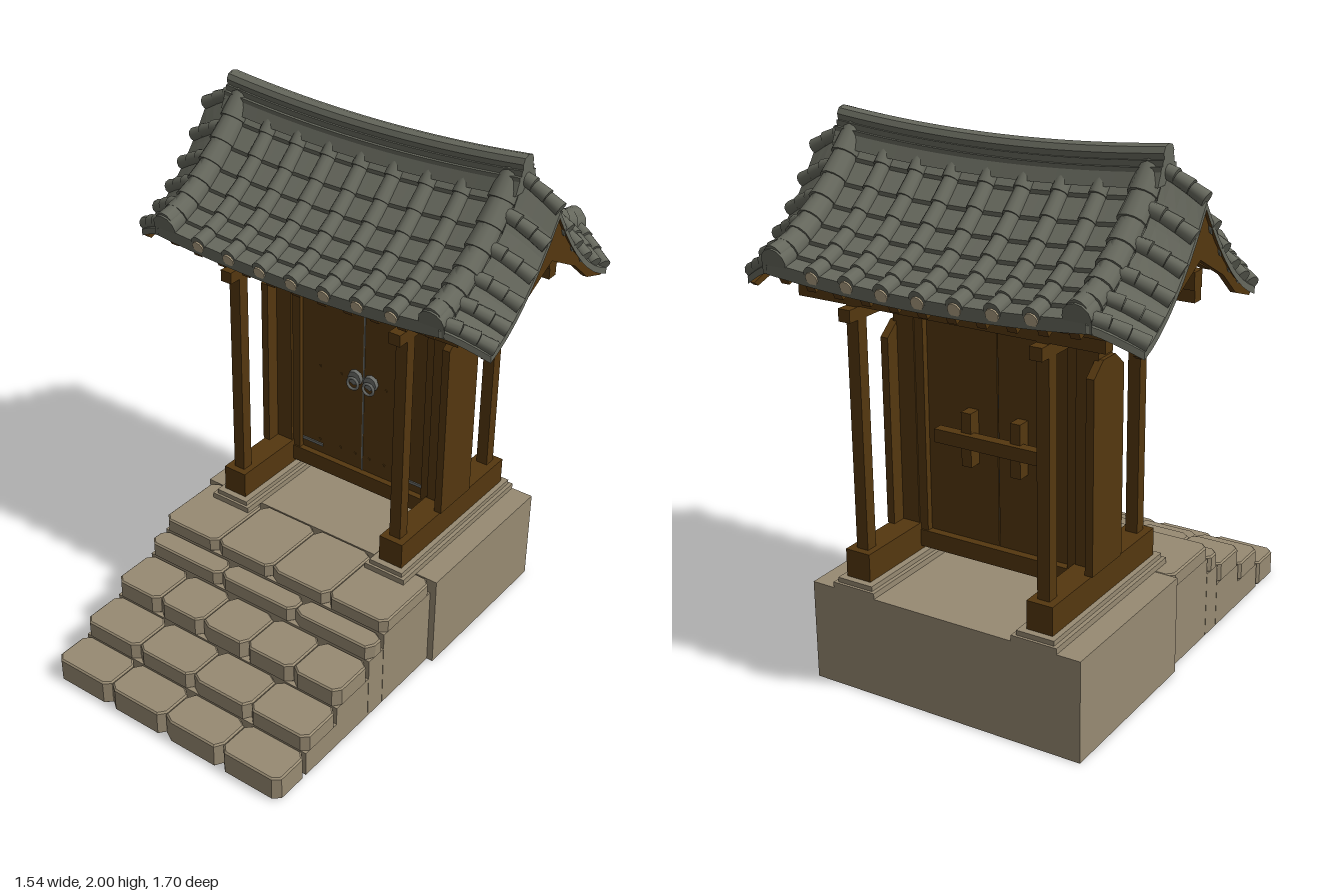
import * as THREE from 'three';

const ZC = -0.38; // gate centre line
const mat = (name, color, double) => {
  const m = new THREE.MeshStandardMaterial({ color });
  m.name = name;
  if (double) m.side = THREE.DoubleSide;
  return m;
};
const M = {
  stone: mat('stone', 0x978a72), tile: mat('roofTile', 0x66685d, true), wood: mat('wood', 0x54370f, true),
  metal: mat('iron', 0x6c6e6a), plaster: mat('plaster', 0xb0a184),
};

const add = (parent, name, geo, m) => {
  const mesh = new THREE.Mesh(geo, m);
  mesh.name = name;
  parent.add(mesh);
  return mesh;
};
// box given by its min and max on each axis
const box = (parent, name, m, x0, x1, y0, y1, z0, z1) => {
  const mesh = add(parent, name, new THREE.BoxGeometry(x1 - x0, y1 - y0, z1 - z0), m);
  mesh.position.set((x0 + x1) / 2, (y0 + y1) / 2, (z0 + z1) / 2);
  return mesh;
};
const V = (x, y, z) => new THREE.Vector3(x, y, z);
// align a y-axis mesh between two points
const UP = V(0, 1, 0);
const span = (mesh, a, b) => {
  mesh.position.copy(a).add(b).multiplyScalar(0.5);
  mesh.quaternion.setFromUnitVectors(UP, b.clone().sub(a).normalize());
  return mesh;
};
const rod = (parent, name, m, a, b, ra, rb, sides = 10) =>
  span(add(parent, name, new THREE.CylinderGeometry(rb, ra, a.distanceTo(b), sides), m), a, b);
// flat-shaded surface from a rule over a grid
const sheet = (nu, nv, fn) => {
  const pos = [], idx = [];
  for (let i = 0; i <= nu; i++) for (let j = 0; j <= nv; j++) pos.push(...fn(i, j));
  for (let i = 0; i < nu; i++) for (let j = 0; j < nv; j++) {
    const a = i * (nv + 1) + j, b = a + nv + 1;
    idx.push(a, a + 1, b, b, a + 1, b + 1);
  }
  const g = new THREE.BufferGeometry();
  g.setAttribute('position', new THREE.Float32BufferAttribute(pos, 3));
  g.setIndex(idx);
  const flat = g.toNonIndexed();
  flat.computeVertexNormals();
  return flat;
};
// profile in (z, y) extruded along x
const sideBoard = (parent, name, m, pts, x0, x1) => {
  const g = new THREE.ExtrudeGeometry(new THREE.Shape(pts.map(p => new THREE.Vector2(...p))), { depth: x1 - x0, bevelEnabled: false });
  g.rotateY(-Math.PI / 2).translate(x1, 0, ZC);
  return add(parent, name, g, m);
};

// Roof height at distance d from the ridge: sagging slope, lifted towards the gables
const lift = x => 0.035 * (x / 0.62) ** 2;
const roofY = (x, d) => 1.88 - 1.287 * d + 1.073 * d * d + lift(Math.min(Math.abs(x), 0.62));
// Gable verge: bends down and inwards from the rake (u = 0) to the edge (u = 1)
const verge = (s, u, d, dy = 0) => [s * (0.6 + 0.155 * u), roofY(0.62, Math.abs(d)) - 0.08 * u ** 1.2 + dy, ZC + d * (1 - 0.17 * u)];

function steps() {
  const g = new THREE.Group();
  g.name = 'stoneSteps';
  // [back z, front z, bottom, top, stones]
  const rows = [[0.68, 0.845, 0, 0.1, 4], [0.5, 0.685, 0.1, 0.175, 4], [0.31, 0.505, 0.175, 0.255, 5], [0.22, 0.312, 0.255, 0.32, 3], [-0.08, 0.222, 0.32, 0.38, 4]];
  rows.forEach(([z0, z1, y0, y1, n], r) => {
    const w = 1.05 / n, bev = 0.006;
    for (let i = 0; i < n; i++) {
      const x0 = -0.525 + i * w + bev + 0.001, x1 = -0.525 + (i + 1) * w - bev - 0.001;
      const a = z0 + bev, b = z1 - bev, c = 0.022 + 0.012 * ((i * 7 + r * 3) % 3) / 2, e = 0.03 - c / 3;
      const s = new THREE.Shape([[x0 + c, -b], [x1 - e, -b], [x1, -b + c * 0.9], [x1, -a - e], [x1 - c, -a], [x0 + e, -a], [x0, -a - c], [x0, -b + e]].map(p => new THREE.Vector2(...p)));
      const geo = new THREE.ExtrudeGeometry(s, { depth: y1 - y0 - 2 * bev, bevelThickness: bev, bevelSize: bev, bevelSegments: 1 });
      add(g, 'stepStone', geo.rotateX(-Math.PI / 2).translate(0, y0 + bev, 0), M.stone);
    }
    if (r) box(g, 'stepCore', M.stone, -0.52, 0.52, 0, y0 + 0.002, z0, z1 - 0.004);
  });
  return g;
}

function frame() {
  const g = new THREE.Group();
  g.name = 'timberFrame';
  for (const s of [-1, 1]) {
    const b = (name, m, x0, x1, ...r) => box(g, name, m, Math.min(s * x0, s * x1), Math.max(s * x0, s * x1), ...r);
    b('lowerPad', M.stone, 0.28, 0.455, 0.38, 0.402, -0.765, 0.005);
    b('upperPad', M.stone, 0.295, 0.44, 0.402, 0.42, -0.755, -0.005);
    b('groundSill', M.wood, 0.32, 0.42, 0.42, 0.525, -0.73, -0.03);
    for (const z of [-0.08, -0.68]) b('cornerPost', M.wood, 0.345, 0.392, 0.525, 1.42, z - 0.023, z + 0.023);
    b('sideTieBeam', M.wood, 0.345, 0.392, 1.365, 1.41, -0.745, -0.01);
    b('mainPost', M.wood, 0.325, 0.41, 0.525, 1.51, -0.425, -0.335);
    b('kingPost', M.wood, 0.345, 0.39, 1.5, 1.8, -0.405, -0.355);
    b('doorJamb', M.wood, 0.29, 0.326, 0.435, 1.4, -0.42, -0.345);
    const cheek = [[-0.1, 0.525], [0.1, 0.525], [0.1, 1.23], [0.04, 1.28], [-0.04, 1.28], [-0.1, 1.23]];
    sideBoard(g, 'cheekBoard', M.wood, cheek, s > 0 ? 0.395 : -0.425, s > 0 ? 0.425 : -0.395);
    // doors with iron fittings
    b('doorLeaf', M.wood, 0.002, 0.29, 0.5, 1.345, -0.395, -0.365);
    for (const y of [0.54, 1.31]) b('hingeStrap', M.metal, 0.19, 0.288, y - 0.006, y + 0.006, -0.366, -0.36);
    for (const x of [0.03, 0.1, 0.2]) for (const y of [0.56, 0.9, 1.28]) b('doorNail', M.wood, x, x + 0.008, y, y + 0.008, -0.366, -0.361);
    const plate = add(g, 'handlePlate', new THREE.CylinderGeometry(0.03, 0.033, 0.016, 8), M.metal);
    plate.rotation.x = Math.PI / 2;
    plate.position.set(s * 0.036, 0.915, -0.358);
    const ring = add(g, 'handleRing', new THREE.TorusGeometry(0.024, 0.006, 6, 14), M.metal);
    ring.position.set(s * 0.036, 0.896, -0.343);
    b('barBracket', M.wood, 0.08, 0.12, 0.8, 1.0, -0.445, -0.395);
  }
  box(g, 'doorBar', M.wood, -0.22, 0.22, 0.875, 0.925, -0.465, -0.425);
  box(g, 'doorSeam', M.metal, -0.003, 0.003, 0.5, 1.345, -0.39, -0.362);
  box(g, 'threshold', M.wood, -0.326, 0.326, 0.435, 0.5, -0.425, -0.34);
  box(g, 'lintel', M.wood, -0.326, 0.326, 1.345, 1.4, -0.42, -0.34);
  // purlins carrying the roof
  for (const z of [-0.08, ZC, -0.68]) {
    box(g, 'wallPlate', M.wood, -0.59, 0.59, 1.413, 1.457, z - 0.023, z + 0.023);
    box(g, 'purlin', M.wood, -0.59, 0.59, 1.457, 1.52, z - 0.028, z + 0.028);
  }
  box(g, 'ridgePurlin', M.wood, -0.72, 0.72, 1.72, 1.78, ZC - 0.03, ZC + 0.03);
  return g;
}

function roof() {
  const g = new THREE.Group();
  g.name = 'tiledRoof';
  const N = 7, D = 0.46, NX = 24, c = k => D * k / N;
  const X = i => -0.62 + 1.24 * i / NX;
  // stepped course profile: [distance, offset]
  const prof = [];
  for (let k = 0; k < N; k++) prof.push([c(k), 0], [c(k + 1), 0.014]);
  prof.push([D, -0.03]);
  for (const s of [-1, 1]) {
    const P = (x, d, dy) => V(x, roofY(x, d) + dy, ZC + s * d);
    add(g, 'tileCourses', sheet(NX, prof.length - 1, (i, j) => P(X(i), prof[j][0], prof[j][1]).toArray()), M.tile);
    add(g, 'roofBoarding', sheet(NX, 8, (i, j) => P(X(i), D * j / 8, -0.03).toArray()), M.wood);
    // rows of overlapping cap tiles, with heavy rakes at both ends
    for (let n = -4; n <= 4; n++) {
      const rake = Math.abs(n) === 4, x = rake ? Math.sign(n) * 0.57 : n * 0.138;
      const r = rake ? 0.05 : 0.031;
      for (let k = 0; k < N; k++) {
        const dy = rake ? 0.014 : 0.008;
        rod(g, rake ? 'rakeTile' : 'capTile', M.tile, P(x, c(k), dy), P(x, c(k + 1) + 0.004, dy + 0.006), r * 0.88, r, 12);
      }
      if (!rake) rod(g, 'eavePlaster', M.plaster, P(x, D - 0.02, 0.002), P(x, D + 0.006, 0.002), 0.024, 0.024, 10);
      else {
        rod(g, 'rakeEndTile', M.tile, P(x, D - 0.06, 0.035), P(x, D + 0.003, 0.042), 0.034, 0.038, 12);
        for (let k = 0; k < N; k++) rod(g, 'rakeCrest', M.tile, P(x, c(k), 0.045), P(x, c(k + 1), 0.045), 0.024, 0.024, 8);
      }
    }
    // rafters follow the sag in three lengths
    for (let n = -5; n <= 5; n++) for (let k = 0; k < 3; k++) {
      const a = P(n * 0.11, 0.02 + k * 0.14, -0.048), b = P(n * 0.11, 0.16 + k * 0.14, -0.048);
      span(add(g, 'rafter', new THREE.BoxGeometry(0.035, a.distanceTo(b), 0.032), M.wood), a, b);
    }
  }
  // gable ends
  for (const s of [-1, 1]) {
    const d = j => -0.465 + 0.93 * j / 16;
    add(g, 'vergeTiles', sheet(4, 16, (i, j) => verge(s, i / 4, d(j))), M.tile);
    add(g, 'vergeBoarding', sheet(4, 16, (i, j) => verge(s, i / 4, d(j), -0.025)), M.wood);
    add(g, 'vergeEdge', sheet(1, 16, (i, j) => verge(s, 1, d(j), -0.025 * i)), M.tile);
    for (const e of [-0.465, 0.465]) add(g, 'vergeCorner', sheet(4, 1, (i, j) => verge(s, i / 4, e, -0.025 * j)), M.tile);
    for (let n = -5; n <= 5; n++) for (let k = 0; k < 3; k++)
      rod(g, 'vergeCap', M.tile, V(...verge(s, k / 3, n * 0.087, 0.004)), V(...verge(s, (k + 1) / 3, n * 0.087, 0.008)), 0.024, 0.027, 10);
    // bargeboard under the verge and gable wall behind it
    const top = [];
    for (let j = 0; j <= 16; j++) {
      const [, y, z] = verge(s, 0.9, d(j), -0.024);
      top.push([z - ZC, y]);
    }
    const barge = [...top, [0.375, 1.44], [0.27, 1.475], [0.17, 1.56], [0, 1.65], [-0.17, 1.56], [-0.27, 1.475], [-0.375, 1.44]];
    sideBoard(g, 'bargeboard', M.wood, barge, s > 0 ? 0.72 : -0.74, s > 0 ? 0.74 : -0.72);
    const wall = [[-0.3, 1.515], [0.3, 1.515], [0.18, 1.64], [0, 1.82], [-0.18, 1.64]];
    sideBoard(g, 'gableWall', M.wood, wall, s > 0 ? 0.56 : -0.58, s > 0 ? 0.58 : -0.56);
  }
  // layered ridge with a rounded crest, curving up at the ends
  const sec = [[-0.07, 1.84], [-0.05, 1.885], [-0.05, 1.9], [-0.038, 1.9], [-0.038, 1.92], [-0.03, 1.92], [-0.034, 1.94], [-0.024, 1.959], [0, 1.966]];
  const full = [...sec, ...sec.slice(0, -1).reverse().map(([z, y]) => [-z, y])];
  add(g, 'ridge', sheet(NX, full.length - 1, (i, j) => [X(i), full[j][1] + lift(X(i)), ZC + full[j][0]]), M.tile);
  for (const s of [-1, 1]) sideBoard(g, 'ridgeEnd', M.tile, full.map(([z, y]) => [z, y + 0.035]), s * 0.62 - 0.003, s * 0.62 + 0.003);
  return g;
}

export function createModel() {
  const model = new THREE.Group();
  model.name = 'roofedGate';
  box(model, 'stonePlatform', M.stone, -0.545, 0.545, 0, 0.38, -0.765, -0.08);
  model.add(steps(), frame(), roof());
  return model;
}
